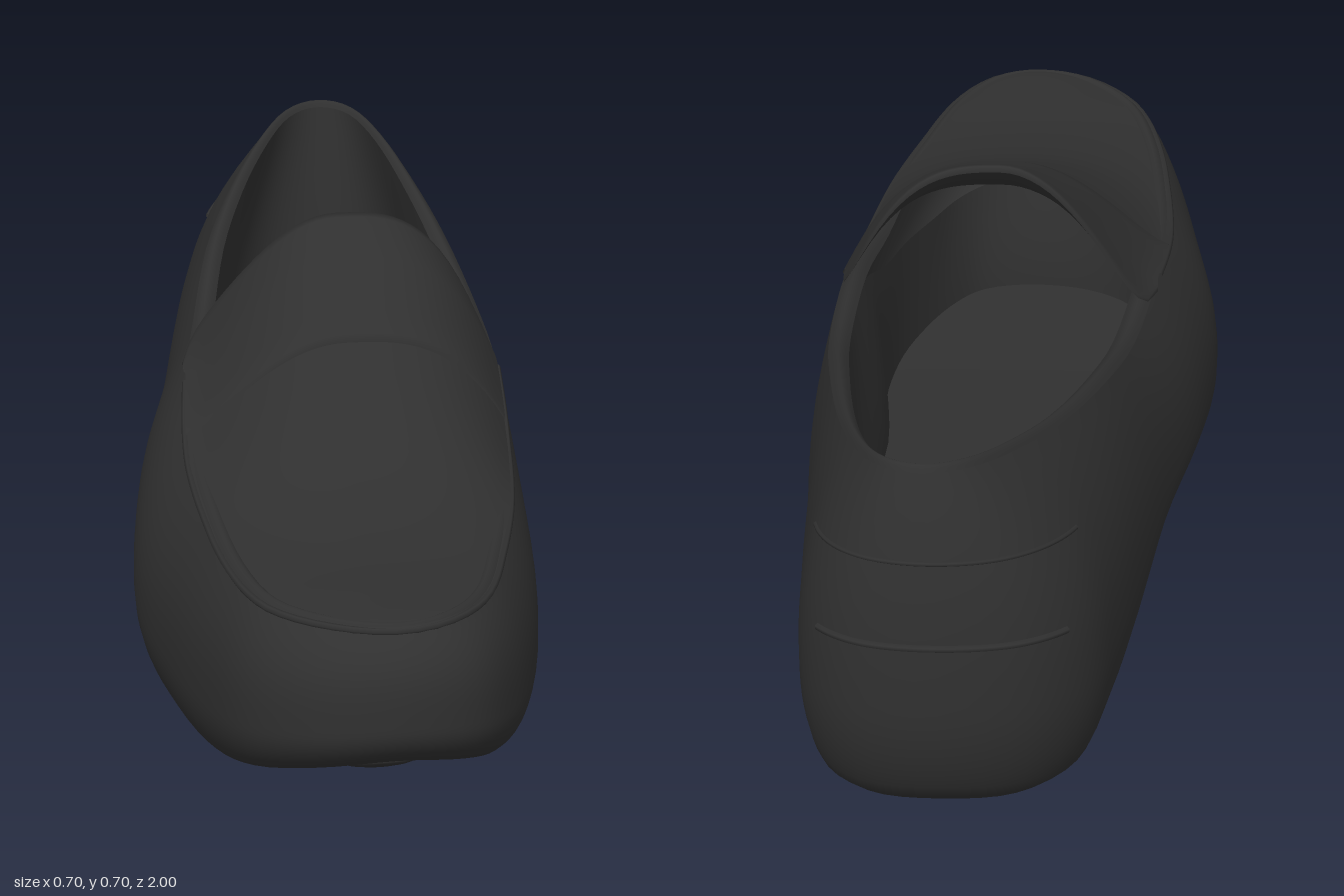
import * as THREE from 'three';
import { mergeVertices } from 'three/addons/utils/BufferGeometryUtils.js';

const leather = new THREE.MeshStandardMaterial({ color: 0x303030, side: THREE.DoubleSide });
leather.name = 'black leather';

// Values every 15 degrees round the shoe: toe, along +x to the heel, back along -x
const ring = (plus, minus = plus) => [...plus, ...minus.slice(1, 12).reverse()];
const OUTER_X = ring(
  [-0.02, 0.10, 0.175, 0.235, 0.285, 0.315, 0.33, 0.345, 0.335, 0.33, 0.315, 0.235, 0.1],
  [-0.02, -0.15, -0.245, -0.295, -0.33, -0.355, -0.325, -0.265, -0.22, -0.18, -0.135, -0.04, 0.1]);
const RIM_X = ring(
  [-0.02, 0.07, 0.14, 0.19, 0.24, 0.275, 0.30, 0.31, 0.292, 0.265, 0.23, 0.185, 0.12],
  [-0.02, -0.12, -0.205, -0.245, -0.262, -0.265, -0.24, -0.20, -0.15, -0.085, -0.015, 0.05, 0.12]);
const RIM_Y = ring([0.375, 0.375, 0.37, 0.37, 0.378, 0.395, 0.445, 0.46, 0.515, 0.56, 0.60, 0.627, 0.635]);
const BASE_Y = ring([0.15, 0.13, 0.092, 0.05, 0.02, 0.012, 0.034, 0.036, 0.014, 0.010, 0.010, 0.02, 0.03]);
const CROWN_Y = ring([0.376, 0.383, 0.386, 0.39, 0.43, 0.53, 0.645, 0.74, 0.74, 0.74, 0.74, 0.74, 0.74]);

const TAU = Math.PI * 2;
const { lerp } = THREE.MathUtils;

// Smooth periodic lookup in a ring table
function at(table, phi) {
  const f = (((phi / TAU) % 1) + 1) % 1 * 24, i = Math.floor(f), t = f - i;
  const [a, b, c, d] = [-1, 0, 1, 2].map(k => table[(i + k + 24) % 24]);
  return b + 0.5 * t * (c - a + t * (2 * a - 5 * b + 4 * c - d + t * (3 * (b - c) + d - a)));
}

// Surface from a rule giving a point for u, v in 0..1
function surface(nu, nv, rule) {
  const pos = [], idx = [];
  for (let j = 0; j <= nv; j++)
    for (let i = 0; i <= nu; i++) pos.push(...rule(i / nu, j / nv));
  for (let j = 0; j < nv; j++)
    for (let i = 0; i < nu; i++) {
      const a = j * (nu + 1) + i, b = a + nu + 1;
      idx.push(a, a + 1, b, b, a + 1, b + 1);
    }
  const g = new THREE.BufferGeometry();
  g.setAttribute('position', new THREE.Float32BufferAttribute(pos, 3));
  g.setIndex(idx);
  const merged = mergeVertices(g, 1e-4);
  merged.computeVertexNormals();
  return merged;
}

// Mid-line x of a ring, used to move points inward
const mid = (table, phi) => (at(table, phi) + at(table, TAU - phi)) / 2;

const rim = p => [at(RIM_X, p), at(RIM_Y, p), 0.01 + 0.94 * Math.cos(p)];
const outer = p => [at(OUTER_X, p), 0, Math.cos(p)];

// Sole edge, drawn in at the waist under the arch
function base(p) {
  const waist = Math.exp(-(((Math.cos(p) + 0.12) / 0.22) ** 2));
  return [lerp(at(OUTER_X, p), mid(OUTER_X, p), 0.15 + 0.12 * waist), at(BASE_Y, p), 0.925 * Math.cos(p)];
}

// Outside wall, from the sole edge (v = 0) to the rim (v = 1); fuller at the toe
function wall(p, v) {
  const r = rim(p), o = outer(p), b = base(p), y = lerp(b[1], r[1], v);
  const end = v < 0.35 ? b : r, fullness = 2.4 + 1.2 * Math.max(0, Math.cos(p)) ** 4;
  const w = v < 0.35 ? Math.sin(v / 0.35 * Math.PI / 2) ** 0.6 : 1 - ((v - 0.35) / 0.65) ** fullness;
  return [lerp(end[0], o[0], w), y, lerp(end[2], o[2], w)];
}

// Rolled collar edge
function lip(p, k) {
  const r = rim(p);
  return [lerp(r[0], mid(RIM_X, p), 0.14 * k), r[1] + 0.012 * Math.sin(Math.PI * k), r[2] * (1 - 0.018 * k)];
}

// Foot cavity: its front end stops under the vamp
const shorten = z => (z > 0 ? z * 0.55 : z);
function insole(p) {
  const b = base(p);
  return [lerp(b[0], mid(OUTER_X, p), 0.1), 0.15 + 0.02 * Math.cos(p) ** 2, shorten(b[2] * 0.94)];
}
function lining(p, v) {
  const a = lip(p, 1), b = insole(p), w = Math.sin(v * Math.PI / 2);
  return [lerp(a[0], b[0], w), lerp(a[1], b[1], v), lerp(shorten(a[2]), b[2], w)];
}

// Flat fill across a ring
const fill = edge => (s, t) => {
  const p = t * Math.PI, a = edge(p), b = edge(TAU - p);
  return a.map((n, i) => lerp(n, b[i], s));
};

// Arched vamp; the last part of t flares back into the tongue.
// The -x side slopes in more and its wing reaches further back.
function vamp(s, t, lift = 0) {
  const p = Math.min(t / 0.88, 1) * Math.PI / 2, flare = Math.max(0, (t - 0.88) / 0.12);
  const a = rim(p), b = rim(TAU - p), u = Math.abs(2 * s - 1), steep = s > 0.5;
  const arch = steep ? (1 - u * u) ** 1.4 : 1 - u ** 3;
  const crown = at(CROWN_Y, p) + flare * 0.042;
  const back = flare * (0.08 + (steep ? 0.1 : 0.03) * u * u - (steep ? 0.13 : 0.08) * u ** 12);
  return [
    lerp(a[0], b[0], s),
    lerp(a[1], crown, arch) + 0.004 + lift * (0.4 + 0.6 * arch),
    a[2] - back + 0.002,
  ];
}

export function createModel() {
  const shoe = new THREE.Group();
  shoe.name = 'loafer';
  const add = (name, geometry, parent = shoe) => {
    const mesh = new THREE.Mesh(geometry, leather);
    mesh.name = name;
    parent.add(mesh);
    return mesh;
  };

  add('upperWall', surface(96, 24, (u, v) => wall(u * TAU, v)));
  add('collarLip', surface(96, 6, (u, v) => lip(u * TAU, v)));
  add('lining', surface(96, 12, (u, v) => lining(u * TAU, v)));
  add('insole', surface(12, 48, fill(insole)));
  add('outsole', surface(12, 48, fill(base)));
  add('vamp', surface(32, 48, (s, t) => vamp(s, t)));

  // Underside of the vamp, meeting the tongue at its back edge
  add('vampLining', surface(32, 16, (s, v) => vamp(s, lerp(0.6, 1, v), -0.025 * (1 - v ** 8))));

  // Saddle strap over the vamp, with a crease across it and its edges turned down
  const strapProfile = [[0.77, 0], [0.772, 0.013], [0.80, 0.015], [0.83, 0.009], [0.87, 0.015],
    [0.91, 0.015], [0.95, 0.015], [0.98, 0.015], [1, 0.012], [1, 0]];
  add('saddleStrap', surface(32, strapProfile.length - 1, (s, v) => {
    const [t, lift] = strapProfile[Math.round(v * (strapProfile.length - 1))];
    return vamp(s, t, lift);
  }));

  // Raised seams: moccasin stitch round the toe, ridges round the heel
  const seam = (name, rule, from, to, radius) => {
    const pts = Array.from({ length: 25 }, (_, i) => new THREE.Vector3(...rule(lerp(from, to, i / 24))));
    add(name, new THREE.TubeGeometry(new THREE.CatmullRomCurve3(pts), 64, radius, 6));
  };
  seam('toeSeam', rim, -1.55, 1.55, 0.006);
  seam('heelRidge', p => wall(p, 0.55), Math.PI - 0.42, Math.PI + 0.42, 0.006);
  seam('heelCounterSeam', p => wall(p, 0.78), Math.PI - 0.6, Math.PI + 0.6, 0.004);

  // Pebbled grip on the forefoot and heel, following the slope of the sole
  const grip = new THREE.Group();
  grip.name = 'solePebbles';
  shoe.add(grip);
  const pebble = new THREE.SphereGeometry(1, 14, 8);
  const soleY = z => at(BASE_Y, Math.acos(z / 0.925));
  const rows = [0.83, 0.73, 0.63, 0.53, 0.43, 0.33, 0.23, -0.42, -0.52, -0.62, -0.72, -0.82];
  rows.forEach((z, row) => {
    const p = Math.acos(z / 0.925), right = base(p)[0], left = base(TAU - p)[0];
    const step = 0.125, shift = row % 2 ? 0.5 : 0;
    for (let k = -4; k <= 4; k++) {
      const x = (right + left) / 2 + (k + shift) * step;
      if (x - 0.05 < left || x + 0.05 > right) continue;
      const m = add('pebble', pebble, grip);
      m.position.set(x, soleY(z) + 0.003, z);
      m.rotation.x = -Math.atan((soleY(z + 0.03) - soleY(z - 0.03)) / 0.06);
      m.scale.set(0.064, 0.013, 0.058);
    }
  });
  return shoe;
}
